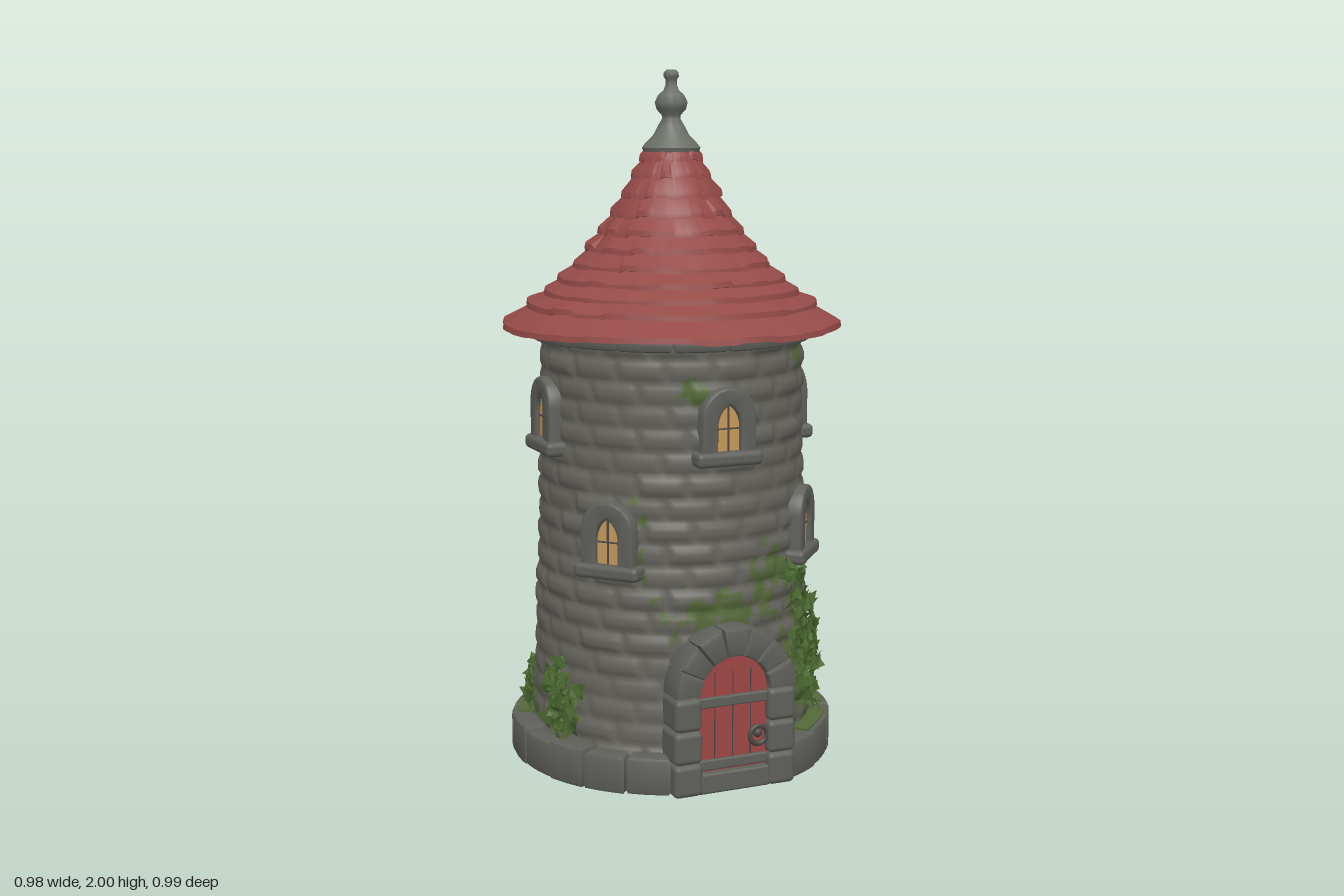
import * as THREE from 'three';
import { mergeGeometries, mergeVertices, toCreasedNormals } from 'three/addons/utils/BufferGeometryUtils.js';
import { RoundedBoxGeometry } from 'three/addons/geometries/RoundedBoxGeometry.js';

const mat = (name, color, side = THREE.FrontSide) => {
  const m = new THREE.MeshStandardMaterial({ color, side });
  m.name = name;
  return m;
};
const stone = mat('wall stone', 0x66645d);
const trim = mat('trim stone', 0x5f5f5a);
const tile = mat('roof tile', 0x954b48);
const cap = mat('finial stone', 0x6a6e66);
const leafGreen = mat('ivy green', 0x4c6a32, THREE.DoubleSide);
const mossGreen = mat('moss green', 0x55693a);
const doorRed = mat('door red', 0x9c4644);
const iron = mat('dark iron', 0x4b4844);
const amber = mat('amber glow', 0xd88c26);
const pale = mat('pale glow', 0xc4995a);

const rad = THREE.MathUtils.degToRad;
const hash = (a, b = 0) => {
  const s = Math.sin(a * 127.1 + b * 311.7 + 4.7) * 43758.5453;
  return s - Math.floor(s);
};
let seed = 7;
const rand = () => hash(seed++, 3);
const spread = (w) => (rand() + rand() - 1) * w;
const wallR = (y) => 0.376 + 0.04 * Math.max(0, 1 - y / 1.25) ** 2;

function add(parent, name, geo, material, x = 0, y = 0, z = 0) {
  const m = new THREE.Mesh(geo, material);
  m.name = name;
  m.position.set(x, y, z);
  parent.add(m);
  return m;
}
const box = (w, h, d, r = 0.008) => new RoundedBoxGeometry(w, h, d, 2, r);

// Bevelled block cut from a ring, extruded along z
function sector(r0, r1, t0, t1, depth, b = 0.008) {
  const s = new THREE.Shape();
  s.absarc(0, 0, r1, t0, t1, false);
  s.absarc(0, 0, r0, t1, t0, true);
  const g = new THREE.ExtrudeGeometry(s, { depth: depth - 2 * b, bevelEnabled: b > 0, bevelSize: b,
    bevelThickness: b, bevelOffset: -b, bevelSegments: 2, curveSegments: 5 });
  return toCreasedNormals(g.translate(0, 0, b), 0.7);
}
// Same block laid flat; angles run from the front towards the left
const ringBlock = (r0, r1, a0, a1, h, b) =>
  sector(r0, r1, rad(a0 - 90), rad(a1 - 90), h, b).rotateX(-Math.PI / 2);

// Brick relief: raised stones with grooves between staggered courses
function brick(a, y) {
  const n = 17, row = Math.floor(y / 0.064);
  const u = (a / (2 * Math.PI) + 1) * n + (row % 2) * 0.5 + hash(row) * 0.3;
  const fu = u - Math.floor(u), fy = y / 0.064 - row;
  const d = Math.min(Math.min(fu, 1 - fu) * 0.145, Math.min(fy, 1 - fy) * 0.064);
  return Math.min(1, d / 0.018) * (0.006 + 0.008 * hash(row, Math.floor(u) % n));
}

// Moss patches: angle, height, half angle, half height
const mossPatches = [[90, 1.15, 8, 0.1], [110, 1.22, 10, 0.04], [82, 0.64, 18, 0.04], [72, 0.45, 22, 0.12],
  [95, 0.27, 30, 0.13], [0, 0.5, 24, 0.06], [-14, 1.12, 7, 0.03], [-40, 0.7, 6, 0.1], [22, 0.6, 10, 0.07],
  [45, 0.3, 18, 0.2], [240, 0.15, 22, 0.07], [188, 0.2, 9, 0.09], [133, 0.5, 12, 0.12], [285, 0.2, 9, 0.1],
  [48, 1.22, 7, 0.05]];
function isMoss(a, y) {
  const deg = a * 180 / Math.PI;
  const n = 0.35 * Math.sin(a * 23 + y * 31) + 0.3 * Math.sin(a * 41 - y * 67) + 0.2 * Math.sin(y * 120 + a * 9);
  return mossPatches.some(([pa, py, da, dy]) => {
    const d = ((deg - pa + 900) % 360) - 180;
    return Math.hypot(d / da, (y - py) / dy) + n < 0.85;
  });
}

// Round wall with relief; the inner shell is turned to face the axis
function wallGeometry(segments, rows, inset, inward) {
  const pts = Array.from({ length: rows + 1 }, (_, i) => {
    const y = 0.02 + 1.24 * i / rows;
    return new THREE.Vector2(wallR(y) - inset, y);
  });
  if (inward) pts.reverse();
  let g = new THREE.LatheGeometry(pts, segments);
  g.deleteAttribute('uv');
  g.deleteAttribute('normal');
  g = mergeVertices(g, 1e-5);
  const p = g.attributes.position;
  for (let i = 0; i < p.count; i++) {
    const x = p.getX(i), y = p.getY(i), z = p.getZ(i), r = Math.hypot(x, z);
    const k = 1 + (inward ? -1 : 1) * brick(Math.atan2(x, z), y) / r;
    p.setXYZ(i, x * k, y, z * k);
  }
  g.computeVertexNormals();
  if (inward) return g;
  const plain = [], mossy = [], id = g.index.array;
  for (let i = 0; i < id.length; i += 3) {
    const v = id[i];
    (isMoss(Math.atan2(p.getX(v), p.getZ(v)), p.getY(v)) ? mossy : plain).push(id[i], id[i + 1], id[i + 2]);
  }
  g.setIndex([...plain, ...mossy]);
  g.addGroup(0, plain.length, 0);
  g.addGroup(plain.length, mossy.length, 1);
  return g;
}

// Stepped roof with uneven tile edges
function roofGeometry() {
  const tiers = [[0.492, 1.268], [0.42, 1.325], [0.37, 1.362], [0.33, 1.4], [0.288, 1.442], [0.248, 1.488],
    [0.212, 1.535], [0.178, 1.587], [0.146, 1.64], [0.116, 1.695], [0.092, 1.742], [0.066, 1.79]];
  const pts = [new THREE.Vector2(0.36, 1.285)];
  tiers.slice(0, -1).forEach(([r, y], i) => {
    const [nr, ny] = tiers[i + 1];
    pts.push(new THREE.Vector2(r, y), new THREE.Vector2(r - 0.003, y + 0.016), new THREE.Vector2(nr - 0.008, ny + 0.004));
  });
  const seg = 112, rows = pts.length;
  const g = new THREE.LatheGeometry(pts, seg), p = g.attributes.position;
  for (let i = 0; i < p.count; i++) {
    const col = Math.floor(i / rows) % seg, j = i % rows;
    if (j === 0 || j % 3 === 0) continue;
    const t = Math.floor(j / 3), h = hash(Math.floor((col + t * 3) % seg / 4), t) - 0.5;
    const k = 1 + 0.018 * h + 0.006 * Math.sin(col / seg * Math.PI * 2 * 5 + t);
    p.setXYZ(i, p.getX(i) * k, p.getY(i) + 0.012 * h, p.getZ(i) * k);
  }
  return toCreasedNormals(g, 0.6);
}

function archShape(w, bottom, spring) {
  const s = new THREE.Shape();
  s.moveTo(w, bottom).lineTo(w, spring);
  s.absarc(0, spring, w, 0, Math.PI, false);
  s.lineTo(-w, bottom);
  return s;
}
function pointedShape(w, bottom, spring, top, Kind) {
  const s = new Kind();
  s.moveTo(-w, bottom).lineTo(w, bottom).lineTo(w, spring);
  s.quadraticCurveTo(w * 0.9, top - 0.02, 0, top);
  s.quadraticCurveTo(-w * 0.9, top - 0.02, -w, spring);
  return s;
}

// Arched window: stone surround, sill, glowing pane and glazing bars
function makeWindow(deg, y, pane) {
  const w = new THREE.Group();
  w.name = 'window';
  w.rotation.y = rad(deg);
  w.position.y = y;
  const z = wallR(y) - 0.376;
  const frame = archShape(0.074, 0, 0.108);
  frame.holes.push(pointedShape(0.041, 0.002, 0.085, 0.15, THREE.Path));
  const g = new THREE.ExtrudeGeometry(frame, { depth: 0.055, bevelSize: 0.008, bevelThickness: 0.01, bevelSegments: 3 });
  add(w, 'windowSurround', toCreasedNormals(g, 0.8), trim, 0, 0, z + 0.342);
  add(w, 'windowSill', box(0.2, 0.042, 0.085, 0.015), trim, 0, -0.008, z + 0.377);
  add(w, 'windowPane', new THREE.ShapeGeometry(pointedShape(0.042, 0, 0.085, 0.152, THREE.Shape)), pane, 0, 0, z + 0.393);
  add(w, 'glazingBar', new THREE.BoxGeometry(0.005, 0.135, 0.005), iron, 0, 0.075, z + 0.394);
  add(w, 'glazingBar', new THREE.BoxGeometry(0.066, 0.004, 0.005), iron, 0, 0.075, z + 0.394);
  return w;
}

function makeDoor() {
  const d = new THREE.Group();
  d.name = 'door';
  const z = 0.432, spring = 0.288;
  add(d, 'doorPanel', new THREE.ExtrudeGeometry(archShape(0.115, 0.05, spring), { depth: 0.006, bevelEnabled: false }), doorRed, 0, 0, z - 0.004);
  for (const x of [-0.055, 0, 0.055]) add(d, 'plankGap', new THREE.BoxGeometry(0.003, 0.3, 0.002), iron, x, 0.2, z + 0.002);
  for (const y of [0.265, 0.085]) add(d, 'doorBand', box(0.21, 0.03, 0.016, 0.005), trim, 0, y, z + 0.004);
  add(d, 'handleRing', new THREE.TorusGeometry(0.026, 0.007, 8, 20), iron, 0.075, 0.155, z + 0.013);
  add(d, 'handleBoss', new THREE.SphereGeometry(0.013, 12, 8), iron, 0.075, 0.16, z + 0.008);
  add(d, 'threshold', box(0.22, 0.06, 0.1), trim, 0, 0.035, 0.405);
  // Stone surround: three jamb blocks a side, then a ring of arch stones
  for (const s of [-1, 1]) for (let i = 0; i < 3; i++) {
    const h = 0.094;
    add(d, 'jambStone', box(0.08 + 0.008 * hash(i, s), h, 0.105, 0.016), trim, s * 0.143, 0.005 + h * (i + 0.5), 0.41);
  }
  for (let i = 0; i < 7; i++) {
    const a = Math.PI / 7;
    add(d, 'archStone', sector(0.105, 0.182 + 0.008 * hash(i), i * a, (i + 1) * a - 0.015, 0.105, 0.012), trim, 0, spring, 0.357);
  }
  // Planked back of the door, seen from inside
  for (let i = -2; i <= 2; i++) add(d, 'innerPlank', box(0.05, 0.4 - 0.015 * i * i, 0.02, 0.004), iron, i * 0.052, 0.21, 0.36);
  return d;
}

// Ivy: folded five-point leaves scattered over patches of the wall
function ivyGeometry() {
  const patches = [[45, 0.34, 15, 0.19, 75], [36, 0.57, 8, 0.07, 16], [60, 0.3, 12, 0.18, 50], [92, 0.31, 25, 0.1, 80],
    [130, 0.52, 10, 0.12, 40], [143, 0.28, 8, 0.13, 20], [188, 0.2, 10, 0.09, 28], [240, 0.18, 22, 0.07, 44],
    [165, 0.5, 6, 0.08, 14], [288, 0.22, 11, 0.13, 40], [202, 0.42, 2, 0.04, 5]];
  const s = new THREE.Shape([[0, -0.5], [0.22, -0.25], [0.5, -0.2], [0.25, 0.1], [0, 0.6], [-0.25, 0.1], [-0.5, -0.2],
    [-0.22, -0.25]].map(([x, y]) => new THREE.Vector2(x, y)));
  const leaf = new THREE.ShapeGeometry(s), p = leaf.attributes.position;
  for (let i = 0; i < p.count; i++) p.setZ(i, -0.5 * Math.abs(p.getX(i)));
  const flat = leaf.toNonIndexed();
  flat.computeVertexNormals();
  const leaves = [];
  for (const [a, y, da, dy, count] of patches) for (let i = 0; i < count; i++) {
    const h = Math.max(0.1, y + spread(dy)), size = 0.045 + 0.03 * rand();
    const g = flat.clone().scale(size, size, size).rotateZ(rand() * 6.28).rotateX(spread(0.8)).rotateY(spread(0.8));
    leaves.push(g.translate(0, h, wallR(h) + 0.018 + 0.02 * rand()).rotateY(rad(a + spread(da))));
  }
  return mergeGeometries(leaves);
}

export function createModel() {
  const tower = new THREE.Group();
  tower.name = 'tower';
  add(tower, 'wall', wallGeometry(200, 112, 0, false), [stone, mossGreen]);
  add(tower, 'innerWall', wallGeometry(100, 66, 0.025, true), stone);
  add(tower, 'ceiling', new THREE.CircleGeometry(0.38, 48).rotateX(Math.PI / 2), stone, 0, 1.25, 0);

  // Plinth blocks either side of the door, with moss on top
  const n = 20, from = 23, step = 314 / n;
  for (let i = 0; i < n; i++) {
    const a = from + i * step;
    add(tower, 'plinthBlock', ringBlock(0.385, 0.468 + 0.01 * hash(i), a, a + step - 0.6, 0.104 + 0.012 * hash(i, 2), 0.012), trim, 0, 0.005, 0);
  }
  for (const [a0, a1] of [[35, 62], [70, 118], [125, 140], [185, 200], [225, 255]])
    add(tower, 'plinthMoss', ringBlock(0.4, 0.458, a0, a1, 0.006, 0), mossGreen, 0, 0.117, 0);

  // Cornice under the eaves
  for (let i = 0; i < 16; i++)
    add(tower, 'corniceBlock', ringBlock(0.36, 0.4 + 0.008 * hash(i, 5), i * 22.5, i * 22.5 + 22.2, 0.045, 0.012), trim, 0, 1.232 + 0.006 * hash(i), 0);

  add(tower, 'roof', roofGeometry(), tile);
  const profile = [[0, 1.765], [0.08, 1.768], [0.084, 1.78], [0.074, 1.793], [0.052, 1.815], [0.038, 1.842], [0.026, 1.862], [0.027, 1.872],
    [0.042, 1.888], [0.047, 1.908], [0.038, 1.928], [0.022, 1.942], [0.016, 1.958], [0.016, 1.972], [0.022, 1.98], [0.021, 1.993], [0.012, 2], [0, 2]];
  add(tower, 'finial', toCreasedNormals(new THREE.LatheGeometry(profile.map(([x, y]) => new THREE.Vector2(x, y)), 32), 0.9), cap);

  for (const deg of [0, 90, 180, 270]) tower.add(makeWindow(deg, 0.95, deg === 90 ? amber : pale));
  tower.add(makeWindow(49, 0.63, amber), makeWindow(-49, 0.63, pale));
  tower.add(makeDoor());

  // Loose stones standing proud of the wall
  for (const [deg, y, w, h] of [[94, 0.645, 0.055, 0.035], [121, 0.625, 0.09, 0.05]]) {
    const r = wallR(y) + 0.008, m = add(tower, 'proudStone', box(w, h, 0.05, 0.012), trim, r * Math.sin(rad(deg)), y, r * Math.cos(rad(deg)));
    m.rotation.y = rad(deg);
  }
  add(tower, 'ivy', ivyGeometry(), leafGreen);
  return tower;
}
